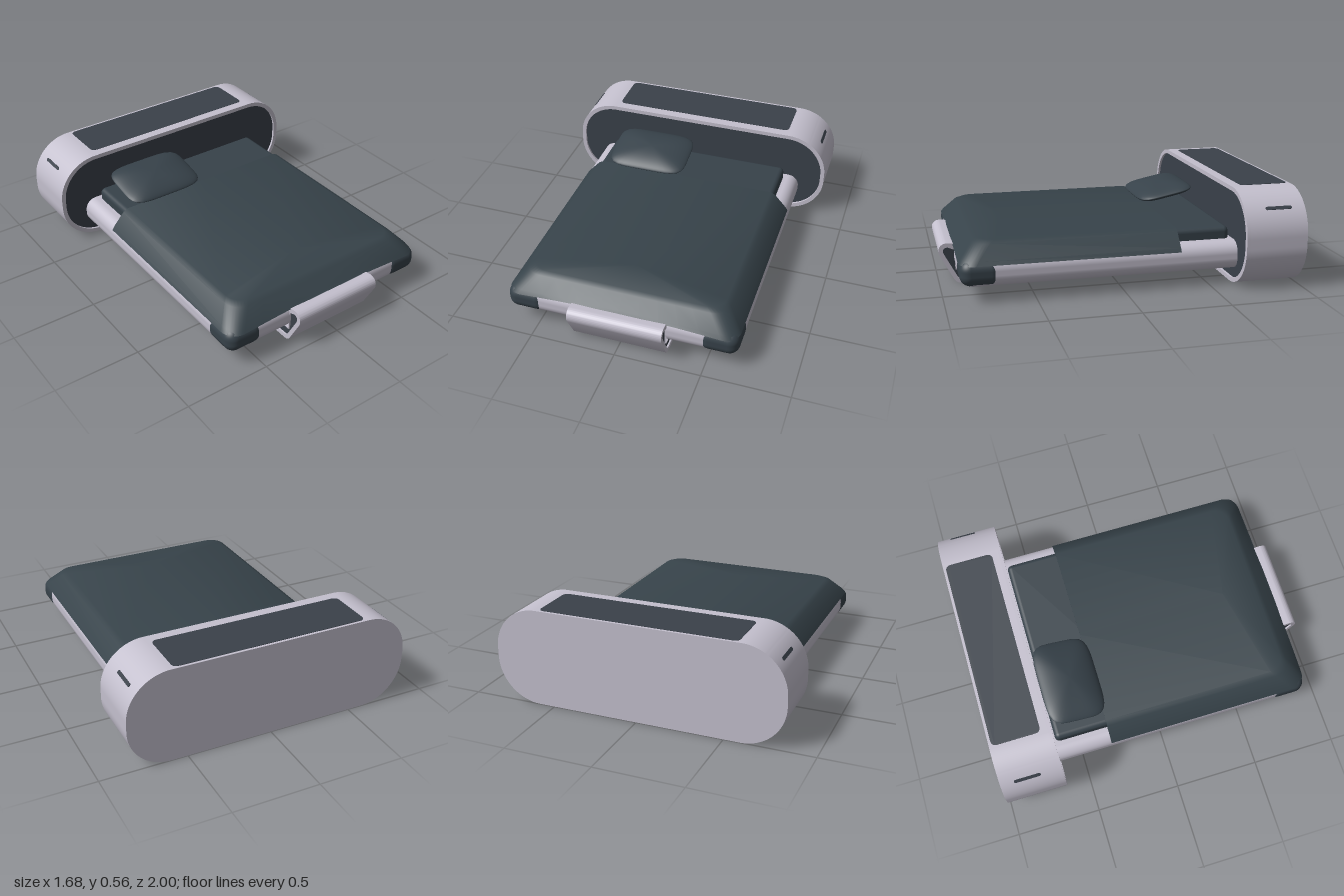
import * as THREE from 'three';
import { toCreasedNormals, mergeVertices } from 'three/addons/utils/BufferGeometryUtils.js';
import { RoundedBoxGeometry } from 'three/addons/geometries/RoundedBoxGeometry.js';

const material = (name, color, side = THREE.FrontSide) => {
  const m = new THREE.MeshStandardMaterial({ color, side });
  m.name = name;
  return m;
};

// Rounded rectangle centred on (cx, cy)
function roundedRect(w, h, r, cx = 0, cy = 0) {
  const s = new THREE.Shape();
  const x = w / 2, y = h / 2;
  s.absarc(cx + x - r, cy + y - r, r, 0, Math.PI / 2);
  s.absarc(cx - x + r, cy + y - r, r, Math.PI / 2, Math.PI);
  s.absarc(cx - x + r, cy - y + r, r, Math.PI, Math.PI * 1.5);
  s.absarc(cx + x - r, cy - y + r, r, Math.PI * 1.5, Math.PI * 2);
  s.closePath();
  return s;
}

function extrude(shape, depth) {
  const g = new THREE.ExtrudeGeometry(shape, { depth, bevelEnabled: false, curveSegments: 20 });
  return toCreasedNormals(g, 0.6);
}

// Blanket: U-shaped outlines stepping inward from hem to flat top
function blanketGeometry() {
  const back = -0.32, r = 0.09, arc = 8;
  const layers = [[0, 0.213], [0.015, 0.235], [0.085, 0.312], [0.115, 0.327]];
  const outline = (d) => {
    const hx = 0.675 - d, zf = 0.918 - d, pts = [[-hx, back]];
    for (let i = 0; i <= arc; i++) {
      const a = (i / arc) * Math.PI / 2;
      pts.push([-hx + r - r * Math.cos(a), zf - r + r * Math.sin(a)]);
    }
    for (let i = 1; i < 10; i++) pts.push([(hx - r) * (i / 5 - 1), zf]);
    for (let i = arc; i >= 0; i--) {
      const a = (i / arc) * Math.PI / 2;
      pts.push([hx - r + r * Math.cos(a), zf - r + r * Math.sin(a)]);
    }
    pts.push([hx, back]);
    return pts;
  };
  const pos = [], index = [];
  let n = 0;
  layers.forEach(([d, y], k) => {
    const pts = outline(d);
    n = pts.length;
    for (const [x, z] of pts) {
      // The front hem rises towards the middle
      const lift = k < 2 && z > 0.8 ? 0.025 * Math.max(0, 1 - (x / 0.6) ** 2) / (k + 1) : 0;
      pos.push(x, y + lift, z);
    }
  });
  for (const [, z] of outline(0.115)) pos.push(0, 0.327, Math.min(z, 0.6));
  for (let k = 0; k < layers.length; k++) {
    for (let i = 0; i < n - 1; i++) {
      const a = k * n + i, b = a + 1, c = a + n, d = c + 1;
      index.push(a, b, c, b, d, c);
    }
  }
  const g = new THREE.BufferGeometry();
  g.setAttribute('position', new THREE.Float32BufferAttribute(pos, 3));
  g.setIndex(index);
  return toCreasedNormals(g, 0.5);
}

// Pillow: sphere squared off in plan and thinned to a seam
function pillowGeometry() {
  let g = new THREE.SphereGeometry(1, 48, 24);
  const p = g.attributes.position;
  for (let i = 0; i < p.count; i++) {
    const x = p.getX(i), y = p.getY(i), z = p.getZ(i);
    const norm = Math.pow(Math.abs(x) ** 5 + Math.abs(z) ** 5, 0.2);
    const s = norm > 1e-6 ? Math.hypot(x, z) / norm : 1;
    p.setXYZ(i, x * s * 0.252, Math.sign(y) * Math.abs(y) ** 1.3 * 0.05, z * s * 0.178);
  }
  g.deleteAttribute('uv');
  g.deleteAttribute('normal');
  g = mergeVertices(g, 1e-5);
  g.computeVertexNormals();
  return g;
}

export function createModel() {
  const model = new THREE.Group();
  const shell = material('pale shell', 0xc4c0ce);
  const panel = material('dark panel', 0x3a414a);
  const fabric = material('dark fabric', 0x37424a);
  const cloth = material('blanket fabric', 0x37434a, THREE.DoubleSide);

  const add = (name, geometry, mat, x = 0, y = 0, z = 0, parent = model) => {
    const m = new THREE.Mesh(geometry, mat);
    m.name = name;
    m.position.set(x, y, z);
    parent.add(m);
    return m;
  };

  // Headboard pod with a raised rim and inset front panel
  const headboard = new THREE.Group();
  headboard.name = 'headboard';
  model.add(headboard);
  const cy = 0.2775;
  const inner = () => roundedRect(1.63, 0.505, 0.228, 0, cy);
  const rim = roundedRect(1.68, 0.555, 0.25, 0, cy);
  rim.holes.push(inner());
  add('headboardBody', extrude(roundedRect(1.68, 0.555, 0.25, 0, cy), 0.34), shell, 0, 0, -1, headboard);
  add('headboardRim', extrude(rim, 0.02), shell, 0, 0, -0.66, headboard);
  add('headboardPanel', extrude(inner(), 0.006), panel, 0, 0, -0.66, headboard);
  const topPanel = extrude(roundedRect(1.145, 0.285, 0.03), 0.004);
  topPanel.rotateX(-Math.PI / 2);
  add('headboardTopPanel', topPanel, panel, 0, 0.553, -0.842, headboard);

  // Slots on the rounded shoulders
  for (const side of [-1, 1]) {
    const slot = extrude(roundedRect(0.02, 0.155, 0.0095), 0.004);
    slot.rotateX(-Math.PI / 2);
    const a = 0.695;
    const m = add('sideSlot', slot, panel,
      side * (0.59 + 0.249 * Math.cos(a)), 0.305 + 0.249 * Math.sin(a), -0.842, headboard);
    m.rotation.z = -side * (Math.PI / 2 - a);
  }

  // Floor support running forward and hooking up over the foot end
  const support = new THREE.Shape();
  support.moveTo(-0.65, 0);
  support.lineTo(0.87, 0);
  support.quadraticCurveTo(0.9, 0, 0.915, 0.025);
  support.lineTo(0.99, 0.165);
  support.bezierCurveTo(1.01, 0.205, 0.99, 0.24, 0.95, 0.24);
  support.lineTo(0.9, 0.235);
  support.lineTo(0.9, 0.09);
  support.lineTo(-0.65, 0.09);
  support.closePath();
  const core = () => {
    const s = new THREE.Path();
    s.moveTo(-0.645, 0.025);
    s.lineTo(0.86, 0.025);
    s.quadraticCurveTo(0.885, 0.025, 0.895, 0.04);
    s.lineTo(0.965, 0.17);
    s.bezierCurveTo(0.98, 0.2, 0.97, 0.215, 0.945, 0.215);
    s.lineTo(0.91, 0.2);
    s.lineTo(0.905, 0.082);
    s.lineTo(-0.645, 0.082);
    s.closePath();
    return s;
  };
  support.holes.push(core());
  const supportGeometry = extrude(support, 0.55);
  supportGeometry.rotateY(-Math.PI / 2);
  add('supportShell', supportGeometry, shell, 0.275);
  const coreGeometry = extrude(new THREE.Shape(core().getPoints(12)), 0.53);
  coreGeometry.rotateY(-Math.PI / 2);
  add('supportCore', coreGeometry, panel, 0.265);

  // Bed frame with soft edges and dark corner guards
  add('bedFrame', new RoundedBoxGeometry(1.35, 0.165, 1.66, 6, 0.07), shell, 0, 0.1675, 0.08);
  for (const side of [-1, 1]) {
    add('cornerGuard', new RoundedBoxGeometry(0.23, 0.145, 0.23, 6, 0.06), fabric, side * 0.563, 0.1655, 0.8);
  }

  // Bedding
  add('mattress', new RoundedBoxGeometry(1.16, 0.12, 0.7, 5, 0.03), fabric, 0, 0.26, -0.285);
  add('blanket', blanketGeometry(), cloth);
  const end = new THREE.Shape([
    [-0.675, 0.213], [0.675, 0.213], [0.66, 0.235], [0.59, 0.312], [0.56, 0.327],
    [-0.56, 0.327], [-0.59, 0.312], [-0.66, 0.235],
  ].map(([x, y]) => new THREE.Vector2(x, y)));
  add('blanketEnd', new THREE.ShapeGeometry(end), cloth, 0, 0, -0.32);
  const pillow = add('pillow', pillowGeometry(), fabric, -0.272, 0.376, -0.465);
  pillow.rotation.x = 0.2;

  return model;
}
